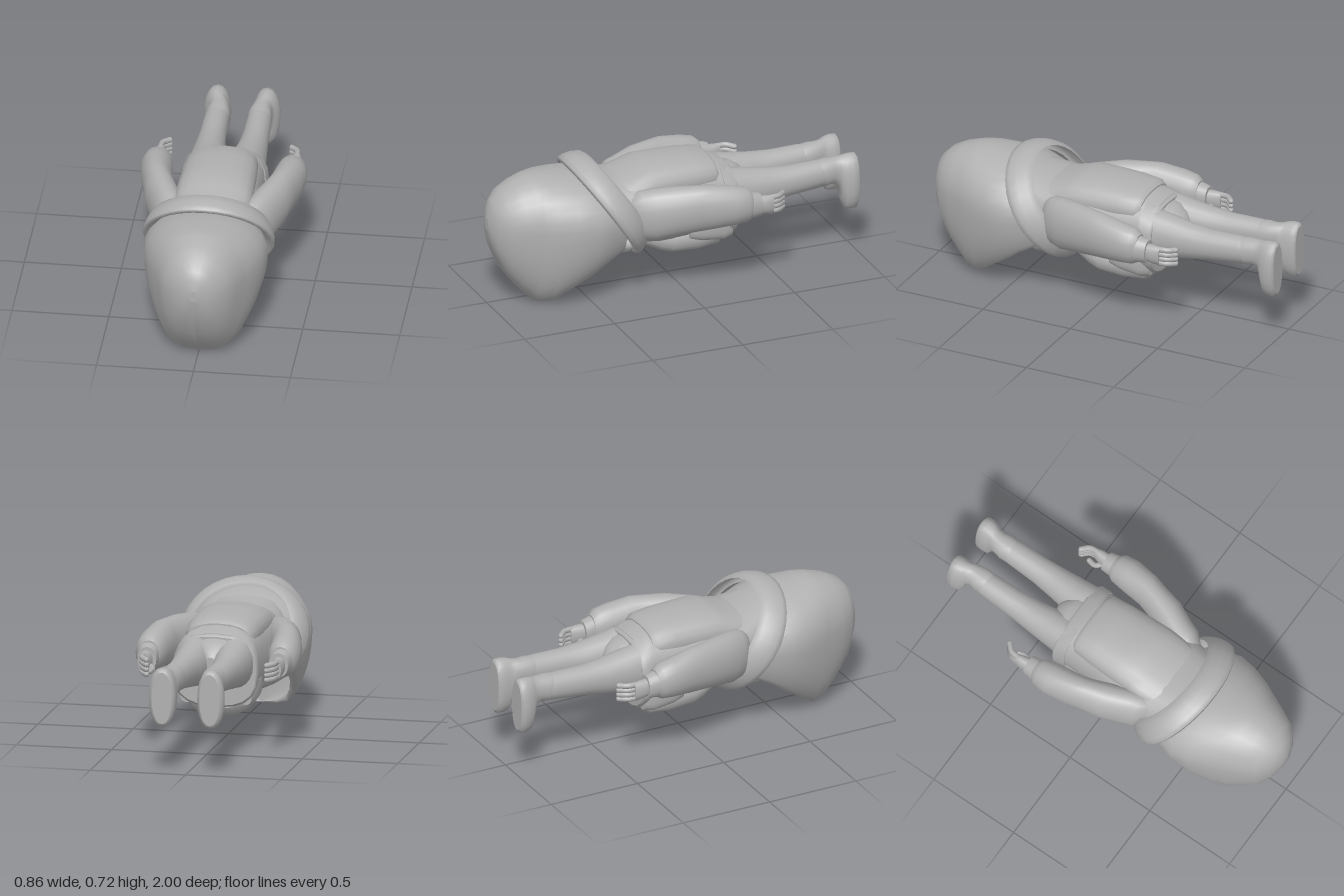
import * as THREE from 'three';

const cloth = new THREE.MeshStandardMaterial({ color: 0xb0b0b0, side: THREE.DoubleSide });
cloth.name = 'plain grey';

// Skin of closed outlines, listed by rising z and running counterclockwise from +z
function skin(sections) {
  const n = sections[0].length, pos = [], idx = [];
  sections.forEach(s => s.forEach(p => pos.push(...p)));
  for (let i = 0; i < sections.length - 1; i++) {
    for (let j = 0; j < n; j++) {
      const k = (j + 1) % n, a = i * n + j, b = i * n + k;
      idx.push(a, b, a + n, b, b + n, a + n);
    }
  }
  // End caps get their own corners so that the edges stay crisp
  [[sections[0], true], [sections[sections.length - 1], false]].forEach(([s, low]) => {
    const base = pos.length / 3, mid = [0, 1, 2].map(c => s.reduce((t, p) => t + p[c], 0) / n);
    s.forEach(p => pos.push(...p));
    pos.push(...mid);
    for (let j = 0; j < n; j++) {
      const k = (j + 1) % n;
      idx.push(base + n, base + (low ? k : j), base + (low ? j : k));
    }
  });
  const g = new THREE.BufferGeometry();
  g.setAttribute('position', new THREE.Float32BufferAttribute(pos, 3));
  g.setIndex(idx);
  g.computeVertexNormals();
  return g;
}

// Rounded outline: [z, centre x, centre y, radius x, radius y]; power under 1 squares it off
function ring([z, cx, cy, rx, ry], power = 1, n = 20) {
  const bend = v => Math.sign(v) * Math.abs(v) ** power;
  return Array.from({ length: n }, (_, i) => {
    const t = i / n * Math.PI * 2;
    return [cx + rx * bend(Math.cos(t)), cy + ry * bend(Math.sin(t)), z];
  });
}

// Hood outline: egg-shaped outer shell cut off at rimY, then the inner wall back.
// Where the rim meets the bottom the outline is closed and the inner wall shrinks to a point.
function hoodRing([z, w, top, mid, bottom, rimY]) {
  const half = [], open = rimY > bottom;
  const cut = Math.asin(Math.min(1, (mid - rimY) / (mid - bottom)));
  for (let i = 0; i <= 8; i++) {
    const b = cut * (1 - i / 8);
    half.push([w * Math.max(0, Math.cos(b)) ** 0.65, mid - (mid - bottom) * Math.sin(b)]);
  }
  for (let i = 1; i <= 7; i++) {
    const a = i / 7 * Math.PI / 2;
    half.push([w * Math.cos(a) ** 0.95, mid + (top - mid) * Math.sin(a)]);
  }
  const outer = half.concat(half.slice(0, -1).reverse().map(([x, y]) => [-x, y]));
  const inner = outer.slice().reverse().map(([x, y]) => open
    ? [x * 0.88, mid + (y - mid) * (y > mid ? 0.84 : 0.97)]
    : [0, rimY]);
  return outer.concat(inner).map(([x, y]) => [x, y, z]);
}

export function createModel() {
  const model = new THREE.Group();
  model.name = 'hoodedFigure';

  const add = (name, geometry, x = 0, y = 0, z = 0, parent = model) => {
    const m = new THREE.Mesh(geometry, cloth);
    m.name = name;
    m.position.set(x, y, z);
    parent.add(m);
    return m;
  };
  const loft = (name, rows, power, parent) =>
    add(name, skin(rows.map(r => ring(r, power))), 0, 0, 0, parent);
  const ball = (name, x, y, z, rx, ry, rz) =>
    add(name, new THREE.SphereGeometry(1, 18, 12).scale(rx, ry, rz), x, y, z);

  // Large hood, open underneath around the face
  add('hood', skin([
    [0.33, 0.27, 0.59, 0.44, 0.16, 0.28],
    [0.42, 0.30, 0.63, 0.44, 0.13, 0.23],
    [0.50, 0.32, 0.66, 0.44, 0.09, 0.17],
    [0.60, 0.305, 0.672, 0.44, 0.03, 0.10],
    [0.70, 0.27, 0.68, 0.435, -0.02, 0.025],
    [0.75, 0.245, 0.678, 0.43, -0.008, 0.002],
    [0.775, 0.235, 0.675, 0.43, 0.0, 0.0],
    [0.85, 0.20, 0.655, 0.43, 0.08, 0.08],
    [0.92, 0.165, 0.62, 0.43, 0.175, 0.175],
    [0.97, 0.105, 0.57, 0.43, 0.285, 0.285],
    [0.99, 0.06, 0.52, 0.43, 0.355, 0.355],
    [1.0, 0.02, 0.47, 0.44, 0.41, 0.41],
  ].map(hoodRing)));

  // Flared collar band slanting around the neck
  const band = [[0.80, -0.09], [0.90, -0.075], [0.985, -0.035], [1.03, 0.005], [1.035, 0.03],
    [0.99, 0.042], [0.90, 0.02], [0.80, -0.03]].map(p => new THREE.Vector2(...p));
  add('collar', new THREE.LatheGeometry(band, 32).scale(0.328, 1, 0.305), 0, 0.455, 0.355).rotation.x = 2.16;

  // Face inside the hood, with muffler folds below it
  ball('head', 0, 0.39, 0.53, 0.19, 0.20, 0.18);
  ball('nose', 0, 0.165, 0.52, 0.045, 0.055, 0.04);
  ball('chin', 0, 0.22, 0.46, 0.11, 0.06, 0.05);
  for (const s of [-1, 1]) {
    ball('cheek', s * 0.08, 0.24, 0.52, 0.07, 0.06, 0.06);
    ball('brow', s * 0.07, 0.25, 0.61, 0.075, 0.04, 0.03);
  }
  ball('mufflerUpper', 0, 0.26, 0.38, 0.17, 0.095, 0.06);
  ball('mufflerLower', 0, 0.26, 0.28, 0.18, 0.075, 0.08);

  // Torso and coat
  loft('coat', [
    [-0.30, 0, 0.42, 0.215, 0.17],
    [-0.22, 0, 0.42, 0.21, 0.20],
    [-0.05, 0, 0.425, 0.215, 0.21],
    [0.10, 0, 0.425, 0.235, 0.205],
    [0.20, 0, 0.43, 0.255, 0.19],
    [0.28, 0, 0.44, 0.25, 0.17],
    [0.42, 0, 0.46, 0.22, 0.175],
  ], 0.8);
  loft('coatHem', [
    [-0.315, 0, 0.395, 0.215, 0.18],
    [-0.305, 0, 0.395, 0.225, 0.19],
    [-0.24, 0, 0.41, 0.218, 0.20],
  ], 0.75);
  loft('backPanel', [
    [-0.225, 0, 0.55, 0.16, 0.075],
    [-0.20, 0, 0.55, 0.18, 0.095],
    [-0.10, 0, 0.555, 0.19, 0.103],
    [0.02, 0, 0.555, 0.195, 0.107],
    [0.14, 0, 0.555, 0.20, 0.107],
    [0.21, 0, 0.545, 0.20, 0.09],
    [0.32, 0, 0.53, 0.19, 0.08],
  ], 0.85);
  loft('frontPanel', [
    [-0.26, 0, 0.24, 0.12, 0.05],
    [-0.235, 0, 0.225, 0.15, 0.08],
    [-0.12, 0, 0.22, 0.16, 0.085],
    [0.02, 0, 0.225, 0.155, 0.083],
    [0.08, 0, 0.235, 0.14, 0.075],
    [0.17, 0, 0.265, 0.11, 0.06],
  ], 0.8);

  // Seat of the trousers joining the legs
  loft('trouserSeat', [
    [-0.425, 0, 0.44, 0.03, 0.05],
    [-0.40, 0, 0.44, 0.07, 0.09],
    [-0.35, 0, 0.44, 0.13, 0.12],
    [-0.25, 0, 0.44, 0.18, 0.14],
  ], 0.9);

  for (const s of [-1, 1]) {
    const side = s > 0 ? 'left' : 'right';

    // Sleeve with a loose cuff
    const arm = new THREE.Group();
    arm.name = side + 'Arm';
    model.add(arm);
    loft('sleeve', [
      [-0.32, s * 0.345, 0.465, 0.055, 0.075],
      [-0.29, s * 0.347, 0.47, 0.075, 0.095],
      [-0.22, s * 0.345, 0.475, 0.083, 0.105],
      [-0.10, s * 0.33, 0.48, 0.08, 0.12],
      [-0.03, s * 0.31, 0.475, 0.08, 0.125],
      [0.08, s * 0.275, 0.465, 0.092, 0.133],
      [0.18, s * 0.232, 0.445, 0.09, 0.14],
      [0.24, s * 0.212, 0.445, 0.086, 0.13],
      [0.29, s * 0.19, 0.445, 0.06, 0.10],
      [0.32, s * 0.17, 0.445, 0.02, 0.04],
    ], 0.95, arm);
    loft('cuff', [
      [-0.37, s * 0.345, 0.455, 0.05, 0.062],
      [-0.28, s * 0.35, 0.465, 0.062, 0.074],
    ], 0.9, arm);

    // Hand with curled fingers and a thumb
    loft('palm', [
      [-0.44, s * 0.352, 0.447, 0.022, 0.05],
      [-0.40, s * 0.35, 0.45, 0.032, 0.05],
      [-0.34, s * 0.345, 0.455, 0.035, 0.045],
    ], 0.9, arm);
    const digit = (name, pts, r) => {
      const curve = new THREE.CatmullRomCurve3(pts.map(([x, y, z]) => new THREE.Vector3(s * x, y, z)));
      add(name, new THREE.TubeGeometry(curve, 8, r, 7), 0, 0, 0, arm);
      add(name + 'Tip', new THREE.SphereGeometry(r, 7, 6), s * pts[2][0], pts[2][1], pts[2][2], arm);
    };
    for (let i = 0; i < 4; i++) {
      const y = 0.41 + i * 0.025;
      digit('finger', [[0.352, y, -0.42], [0.346, y, -0.475], [0.315, y - 0.004, -0.51]], 0.015);
    }
    digit('thumb', [[0.335, 0.43, -0.38], [0.305, 0.415, -0.415], [0.31, 0.41, -0.455]], 0.015);

    // Trouser leg
    const leg = new THREE.Group();
    leg.name = side + 'Leg';
    model.add(leg);
    loft('trouserLeg', [
      [-0.83, s * 0.108, 0.455, 0.06, 0.068],
      [-0.78, s * 0.11, 0.455, 0.064, 0.073],
      [-0.62, s * 0.11, 0.445, 0.069, 0.08],
      [-0.50, s * 0.108, 0.44, 0.08, 0.095],
      [-0.38, s * 0.103, 0.44, 0.094, 0.115],
      [-0.25, s * 0.105, 0.44, 0.10, 0.14],
    ], 0.95, leg);

    // Boot: sole facing back, toe pointing down and slightly out
    loft('boot', [
      [-1.0, s * 0.125, 0.395, 0.052, 0.135],
      [-0.99, s * 0.127, 0.395, 0.068, 0.152],
      [-0.96, s * 0.127, 0.395, 0.07, 0.153],
      [-0.93, s * 0.123, 0.397, 0.064, 0.147],
      [-0.912, s * 0.117, 0.42, 0.057, 0.118],
      [-0.90, s * 0.112, 0.452, 0.054, 0.082],
      [-0.87, s * 0.108, 0.46, 0.055, 0.07],
      [-0.83, s * 0.108, 0.458, 0.063, 0.073],
      [-0.79, s * 0.108, 0.456, 0.06, 0.07],
    ], 0.9, leg);

    // Hip pouch under the belt
    loft('hipPouch', [
      [-0.29, s * 0.155, 0.29, 0.035, 0.07],
      [-0.24, s * 0.16, 0.29, 0.045, 0.08],
      [-0.12, s * 0.16, 0.30, 0.045, 0.075],
      [-0.06, s * 0.155, 0.30, 0.03, 0.06],
    ], 0.75);
  }
  return model;
}
